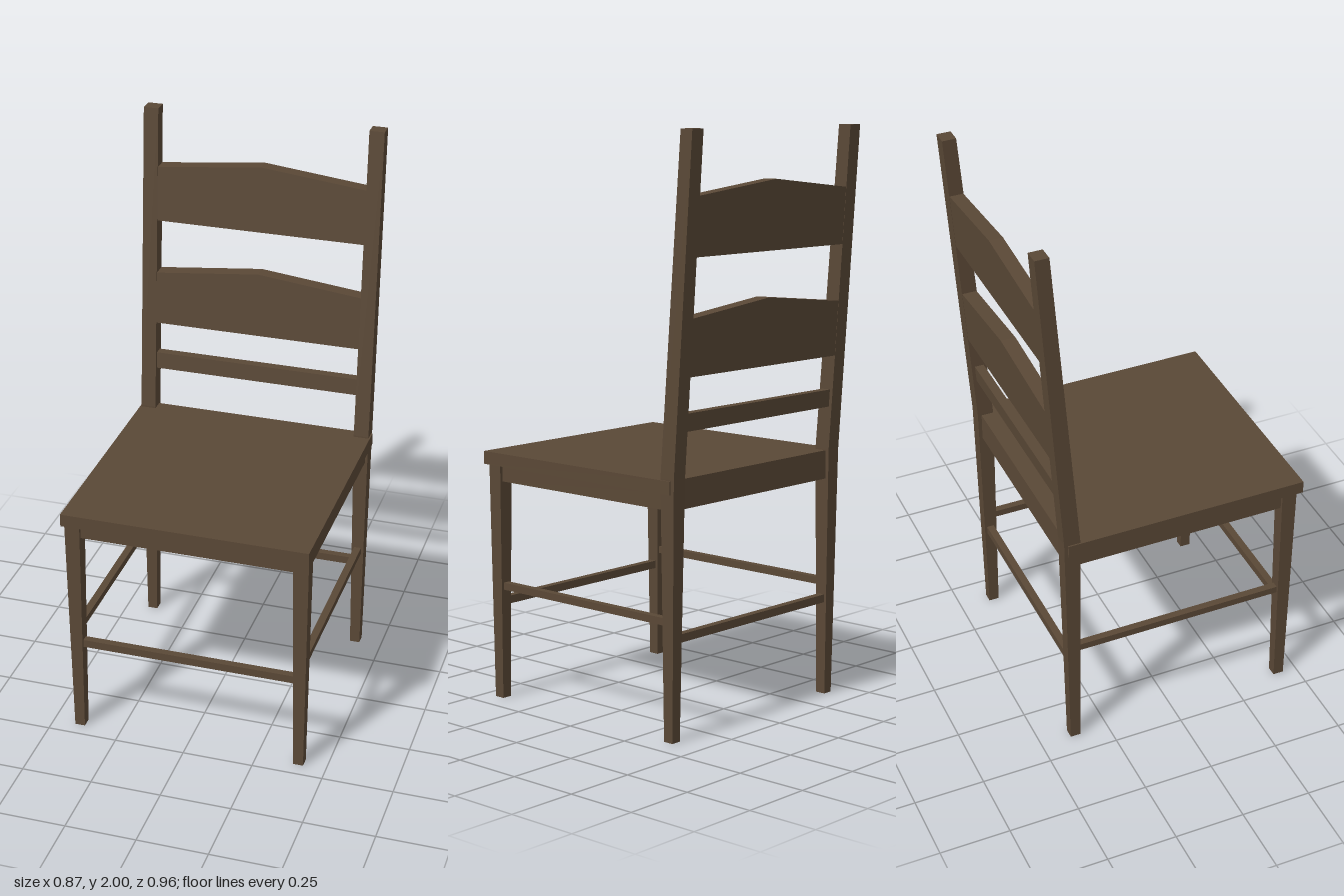
import * as THREE from 'three';

const wood = new THREE.MeshStandardMaterial({ color: 0x5a4836 });
wood.name = 'dark brown wood';

// Front and back faces of the leaning chair back at height y
const backFront = (y) => -0.346 - (y - 0.88) * 0.077;
const backRear = (y) => -0.404 - (y - 0.88) * 0.069;

export function createModel() {
  const chair = new THREE.Group();
  chair.name = 'ladderBackChair';

  const add = (name, geometry) => {
    const mesh = new THREE.Mesh(geometry, wood);
    mesh.name = name;
    chair.add(mesh);
    return mesh;
  };

  // Box given by its extents on each axis
  const block = (name, x0, x1, y0, y1, z0, z1) =>
    add(name, new THREE.BoxGeometry(x1 - x0, y1 - y0, z1 - z0))
      .position.set((x0 + x1) / 2, (y0 + y1) / 2, (z0 + z1) / 2);

  // Square post through rectangular sections [y, xMin, xMax, zMin, zMax]
  const post = (name, sections, side) => {
    const g = new THREE.BoxGeometry(1, 1, 1, 1, sections.length - 1, 1);
    const p = g.attributes.position;
    for (let i = 0; i < p.count; i++) {
      const row = Math.round((p.getY(i) + 0.5) * (sections.length - 1));
      const [y, x0, x1, z0, z1] = sections[row];
      const [a, b] = side > 0 ? [x0, x1] : [-x1, -x0];
      p.setXYZ(i, p.getX(i) < 0 ? a : b, y, p.getZ(i) < 0 ? z0 : z1);
    }
    g.computeVertexNormals();
    add(name, g.toNonIndexed()).geometry.computeVertexNormals();
  };

  // Back crosspiece with an optional peak, leaning with the posts
  const slat = (name, y0, y1, peak, inset) => {
    const w = 0.375;
    const shape = new THREE.Shape([[-w, y0], [w, y0], [w, y1], [0, peak], [-w, y1]]
      .map(([x, y]) => new THREE.Vector2(x, y)));
    const g = new THREE.ExtrudeGeometry(shape, { depth: 1, bevelEnabled: false });
    const p = g.attributes.position;
    for (let i = 0; i < p.count; i++) {
      const y = p.getY(i);
      p.setZ(i, p.getZ(i) > 0.5 ? backFront(y) - inset : backRear(y) + inset);
    }
    g.computeVertexNormals();
    add(name, g);
  };

  // Seat
  block('seat', -0.433, 0.433, 0.83, 0.875, -0.39, 0.48);

  // Legs and back posts
  for (const [label, side] of [['left', 1], ['right', -1]]) {
    post(label + 'FrontLeg', [
      [0, 0.383, 0.419, 0.411, 0.449],
      [0.83, 0.374, 0.428, 0.404, 0.458],
    ], side);
    post(label + 'BackPost', [
      [0, 0.383, 0.419, -0.39, -0.353],
      [0.88, 0.374, 0.428, -0.404, -0.346],
      [2, 0.375, 0.428, backRear(2), backFront(2)],
    ], side);

    // Side apron and stretcher
    const span = (name, x, t, y0, y1) =>
      block(label + name, side * x - t, side * x + t, y0, y1, -0.355, 0.41);
    span('Apron', 0.402, 0.016, 0.775, 0.83);
    span('Stretcher', 0.401, 0.013, 0.39, 0.415);
  }

  // Front and back aprons and stretchers
  block('frontApron', -0.38, 0.38, 0.775, 0.83, 0.415, 0.447);
  block('backApron', -0.38, 0.38, 0.775, 0.83, -0.39, -0.358);
  block('frontStretcher', -0.385, 0.385, 0.332, 0.36, 0.418, 0.444);
  block('backStretcher', -0.385, 0.385, 0.332, 0.36, -0.387, -0.361);

  // Back slats and lower rail
  slat('upperSlat', 1.595, 1.79, 1.83, 0.001);
  slat('lowerSlat', 1.21, 1.4, 1.44, 0.001);
  slat('backRail', 1.03, 1.09, 1.09, 0.012);

  return chair;
}
